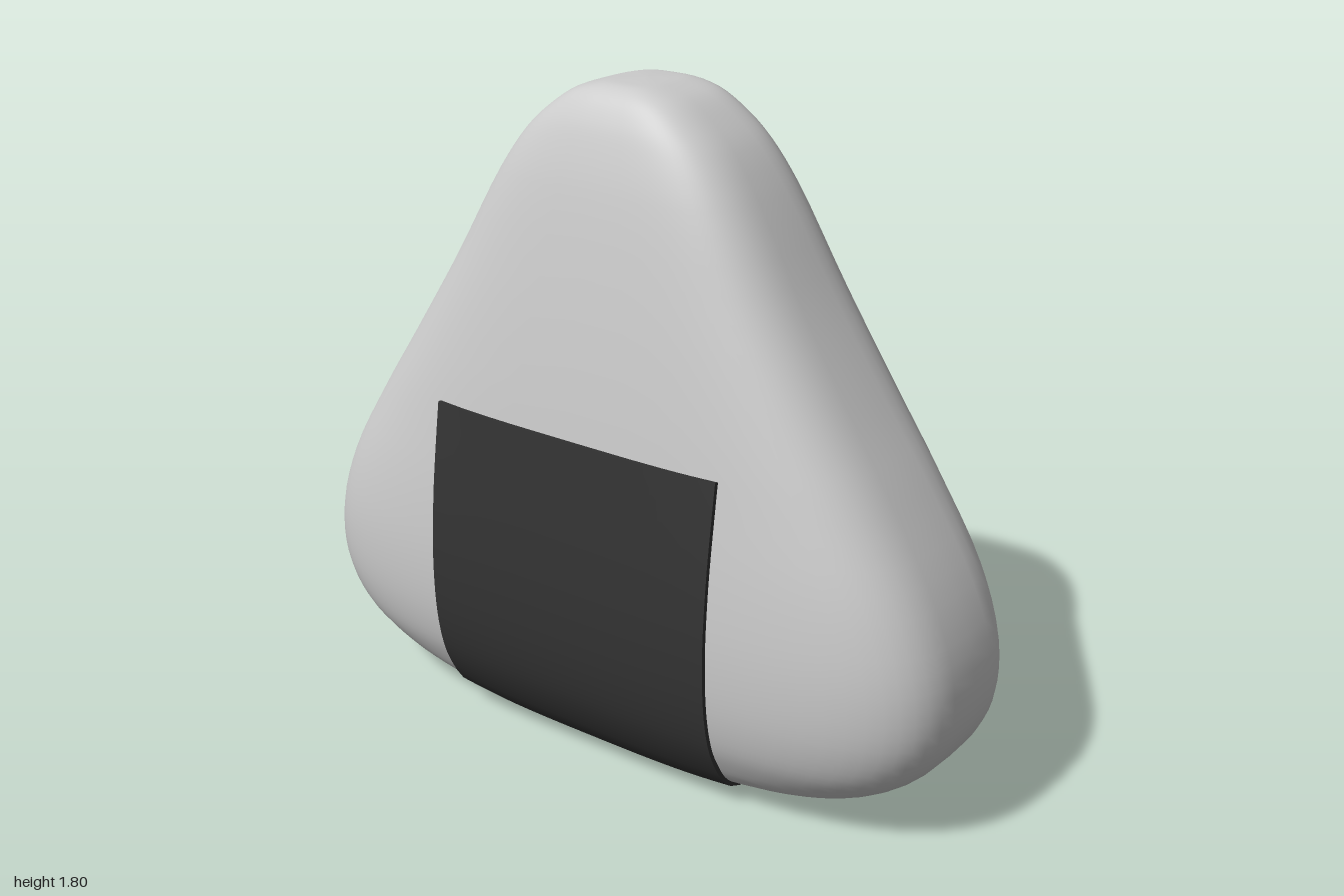
import * as THREE from 'three';
import { toCreasedNormals } from 'three/addons/utils/BufferGeometryUtils.js';

// Rice body outline: half width, height, half depth
const outline = [
  [0, 0.012, 0], [0.15, 0.014, 0.12], [0.3, 0.02, 0.17], [0.48, 0.034, 0.215],
  [0.74, 0.075, 0.265], [0.86, 0.13, 0.3], [0.95, 0.21, 0.335], [1, 0.32, 0.357],
  [1, 0.47, 0.365], [0.94, 0.65, 0.357], [0.81, 0.87, 0.335], [0.69, 1.05, 0.315],
  [0.53, 1.3, 0.28], [0.385, 1.55, 0.235], [0.305, 1.66, 0.205], [0.24, 1.72, 0.182],
  [0.165, 1.77, 0.15], [0.09, 1.793, 0.11], [0.05, 1.798, 0.06], [0, 1.8, 0],
].map((p) => new THREE.Vector3(...p));
const rings = new THREE.CatmullRomCurve3(outline).getPoints(76);
const POWER = 3.4; // squareness of the horizontal sections

// Surface from a grid of points; columns run to the right, rows run up on the front
function gridSurface(rows, cols, pointAt, closed) {
  const positions = [], index = [];
  for (let i = 0; i < rows; i++) for (let j = 0; j < cols; j++) positions.push(...pointAt(i, j));
  for (let i = 0; i < rows - 1; i++) {
    for (let j = 0; j < (closed ? cols : cols - 1); j++) {
      const k = (j + 1) % cols;
      const a = i * cols + j, b = i * cols + k, c = a + cols, d = b + cols;
      index.push(a, b, c, b, d, c);
    }
  }
  const geometry = new THREE.BufferGeometry();
  geometry.setAttribute('position', new THREE.Float32BufferAttribute(positions, 3));
  geometry.setIndex(index);
  geometry.computeVertexNormals();
  return geometry;
}

function riceGeometry() {
  const cols = 64;
  const bend = (v) => Math.sign(v) * Math.abs(v) ** (2 / POWER);
  return gridSurface(rings.length, cols, (i, j) => {
    const t = (j / cols) * Math.PI * 2, r = rings[i];
    return [r.x * bend(Math.cos(t)), r.y, -r.z * bend(Math.sin(t))];
  }, true);
}

// Half depth of the rice at a given x and height (-1 outside)
function depthAt(x, y) {
  const k = rings.findIndex((r) => r.y > y);
  if (k < 1) return -1;
  const a = rings[k - 1], b = rings[k];
  const s = a.clone().lerp(b, (y - a.y) / (b.y - a.y));
  const rest = 1 - (Math.abs(x) / Math.max(s.x, 1e-6)) ** POWER;
  return rest < 0 ? -1 : s.z * rest ** (1 / POWER);
}

// Point [y, z] where a ray from the core meets the rice; angle 0 is straight down
const CORE = 0.45;
function hit(x, angle) {
  let lo = 0, hi = 1;
  for (let n = 0; n < 24; n++) {
    const r = (lo + hi) / 2;
    const inside = Math.abs(r * Math.sin(angle)) < depthAt(x, CORE - r * Math.cos(angle));
    if (inside) lo = r; else hi = r;
  }
  return [CORE - lo * Math.cos(angle), lo * Math.sin(angle)];
}

// Thin sheet following the rice down the back, underneath and up the front
function wrapGeometry() {
  const rows = 61, cols = 19, halfWidth = 0.45, top = 0.93;
  const clamp = THREE.MathUtils.clamp;
  const geometry = gridSurface(rows, cols, (i, j) => {
    const u = clamp((j - 1) / (cols - 3), 0, 1), v = clamp((i - 1) / (rows - 3), 0, 1);
    const border = i === 0 || j === 0 || i === rows - 1 || j === cols - 1;
    const x = (u * 2 - 1) * halfWidth;
    const end = Math.PI - Math.atan2(depthAt(x, top), top - CORE);
    const angle = (v * 2 - 1) * end;
    const [y, z] = hit(x, angle), p = hit(x, angle - 0.03), q = hit(x, angle + 0.03);
    const dy = q[0] - p[0], dz = q[1] - p[1], len = Math.hypot(dy, dz);
    const lift = border ? -0.008 : 0.012; // the rim is tucked into the rice
    return [x, y - (dz / len) * lift, z + (dy / len) * lift];
  }, false);
  return toCreasedNormals(geometry, 0.7);
}

export function createModel() {
  const group = new THREE.Group();
  group.name = 'riceBall';

  const rice = new THREE.Mesh(riceGeometry(), new THREE.MeshStandardMaterial({ color: 0xcccccc }));
  rice.name = 'riceBody';

  const wrap = new THREE.Mesh(wrapGeometry(),
    new THREE.MeshStandardMaterial({ color: 0x333333, side: THREE.DoubleSide }));
  wrap.name = 'seaweedWrap';

  group.add(rice, wrap);
  return group;
}
